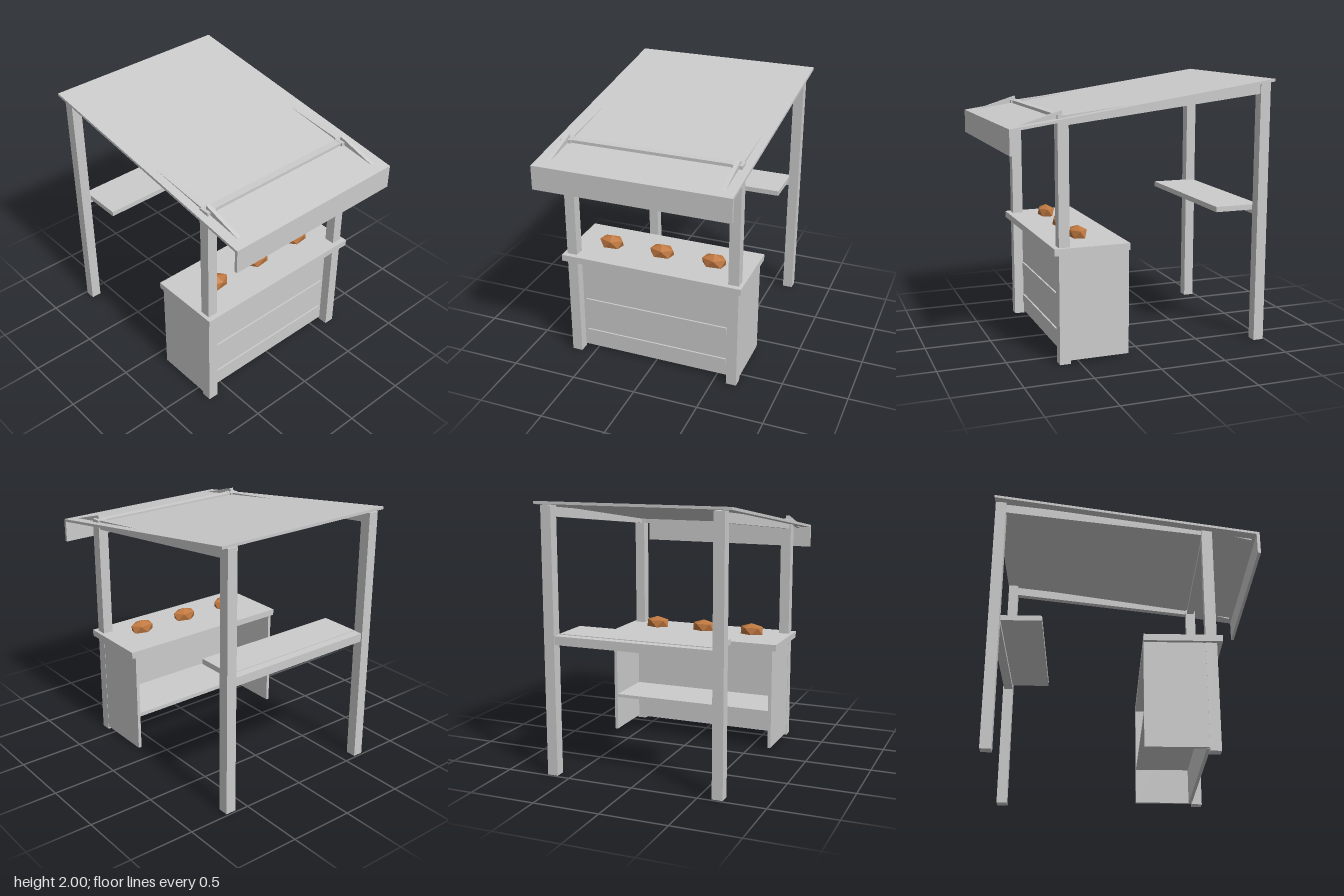
import * as THREE from 'three';

const grey = new THREE.MeshStandardMaterial({ color: 0xcccccc, flatShading: true });
const orange = new THREE.MeshStandardMaterial({ color: 0xc07840, flatShading: true });

export function createModel() {
  const stall = new THREE.Group();
  stall.name = 'marketStall';

  function add(name, geometry, material = grey) {
    const mesh = new THREE.Mesh(geometry, material);
    mesh.name = name;
    stall.add(mesh);
    return mesh;
  }

  // Box given by its extents on each axis
  function box(name, [x0, x1], [y0, y1], [z0, z1]) {
    const mesh = add(name, new THREE.BoxGeometry(x1 - x0, y1 - y0, z1 - z0));
    mesh.position.set((x0 + x1) / 2, (y0 + y1) / 2, (z0 + z1) / 2);
  }

  // Side profile of [z, y] points, extruded across x and centred on x
  function prism(name, points, x, width) {
    const shape = new THREE.Shape(points.map(([z, y]) => new THREE.Vector2(z, y)));
    const geometry = new THREE.ExtrudeGeometry(shape, { depth: width, bevelEnabled: false });
    geometry.rotateY(-Math.PI / 2);
    geometry.translate(x + width / 2, 0, 0);
    add(name, geometry);
  }

  // Sloping roof with a hanging front board
  prism('roof', [[1, 1.69], [1, 1.71], [-0.99, 2], [-0.99, 1.98]], 0, 1.47);
  box('frontValance', [-0.735, 0.735], [1.53, 1.705], [0.977, 1]);

  // Frame and counter sides, mirrored
  for (const s of [1, -1]) {
    const side = s > 0 ? 'left' : 'right';
    const span = (a, b) => (s > 0 ? [a, b] : [-b, -a]);
    box(side + 'FrontPost', span(0.602, 0.682), [0, 1.787], [0.57, 0.65]);
    box(side + 'BackPost', span(0.602, 0.682), [0, 1.972], [-0.985, -0.905]);
    prism(side + 'Rafter', [[0.58, 1.715], [0.58, 1.786], [-0.92, 1.96], [-0.92, 1.89]], s * 0.645, 0.05);
    prism(side + 'RoofBrace', [[0.95, 1.685], [0.955, 1.71], [0.61, 1.817], [0.6, 1.77]], s * 0.643, 0.03);
    box(side + 'CounterPanel', span(0.655, 0.68), [0.025, 0.815], [0.125, 0.572]);
  }

  // Cross beams
  box('frontCrossBeam', [-0.605, 0.605], [1.715, 1.785], [0.58, 0.638]);
  box('backCrossBeam', [-0.605, 0.605], [0.98, 1.045], [-0.975, -0.905]);
  box('backShelf', [-0.598, 0.598], [1.01, 1.05], [-0.91, -0.605]);

  // Counter
  box('counterTop', [-0.71, 0.71], [0.81, 0.86], [0.125, 0.69]);
  box('counterFront', [-0.66, 0.66], [0.022, 0.812], [0.55, 0.575]);
  box('counterShelf', [-0.66, 0.66], [0.3, 0.325], [0.13, 0.555]);
  for (const y of [0.11, 0.385]) box('frontSlat', [-0.575, 0.575], [y, y + 0.06], [0.57, 0.588]);

  // Faceted goods: icosahedra on a pole, squashed and flattened underneath
  const goods = new THREE.IcosahedronGeometry(1);
  goods.rotateX(-Math.atan2((1 + Math.sqrt(5)) / 2, 1));
  goods.rotateY(0.15);
  const p = goods.attributes.position;
  for (let i = 0; i < p.count; i++) {
    const y = p.getY(i);
    p.setXYZ(i, p.getX(i) * 0.106, Math.max(y > 0 ? y * 0.055 : y * 0.07, -0.038), p.getZ(i) * 0.071);
  }
  goods.computeVertexNormals();
  for (const x of [-0.415, 0, 0.415]) add('produce', goods, orange).position.set(x, 0.9, 0.425);

  return stall;
}
